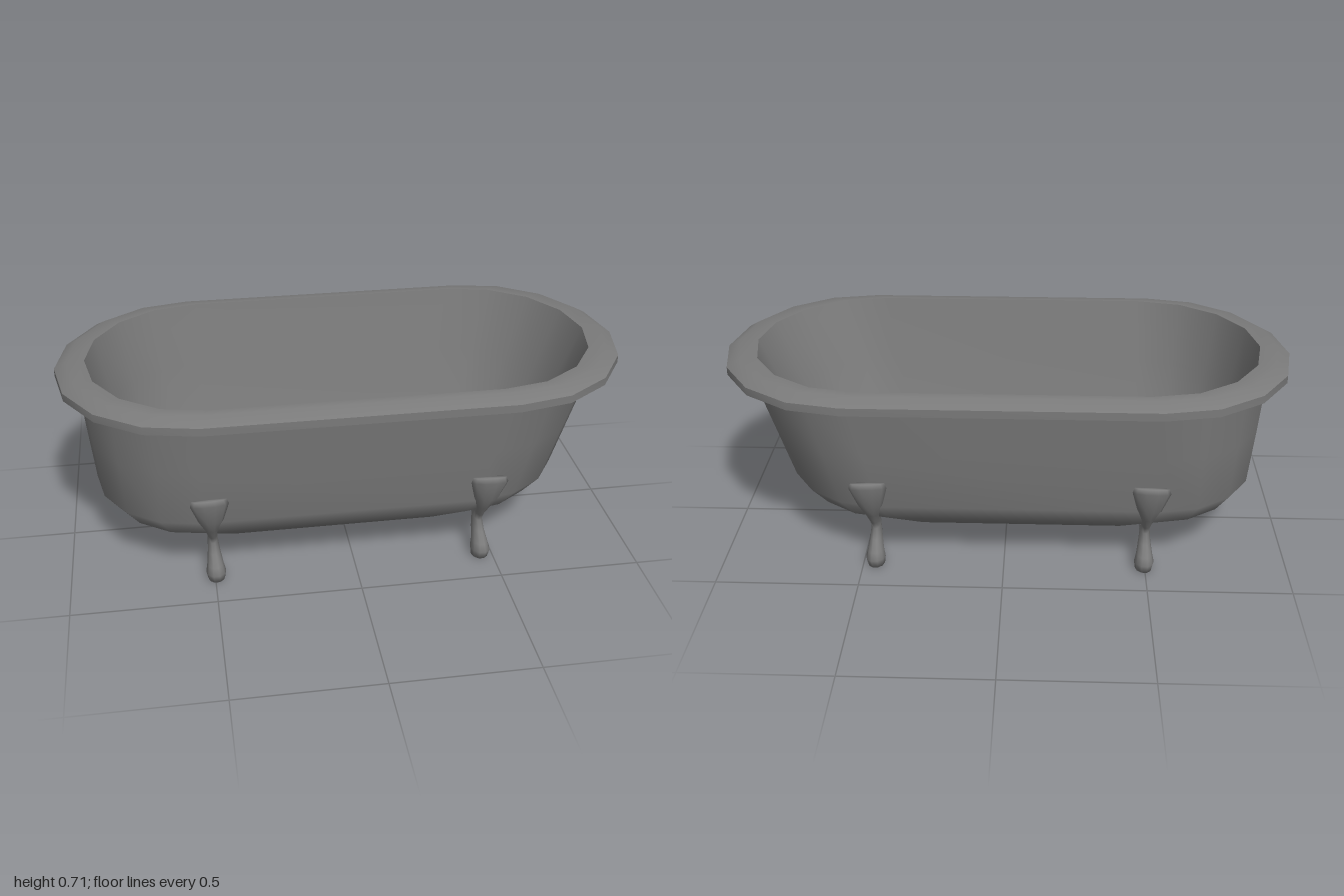
import * as THREE from 'three';
import { toCreasedNormals } from 'three/addons/utils/BufferGeometryUtils.js';

const material = new THREE.MeshStandardMaterial({ color: 0x7a7a7a, side: THREE.DoubleSide });

// Skin a list of closed rings, ordered from top to bottom on an outer surface
function loft(rings) {
  const n = rings[0].length;
  const index = [];
  for (let r = 0; r < rings.length - 1; r++) {
    for (let i = 0; i < n; i++) {
      const a = r * n + i, b = r * n + (i + 1) % n;
      index.push(a, b, a + n, b, b + n, a + n);
    }
  }
  const geometry = new THREE.BufferGeometry();
  geometry.setAttribute('position', new THREE.Float32BufferAttribute(rings.flat(2), 3));
  geometry.setIndex(index);
  geometry.computeVertexNormals();
  return geometry;
}

// Horizontal oval: straight sides joined by two faceted half-round ends
function oval(y, xLeft, xRight, halfWidth) {
  const radius = halfWidth * 0.95;
  const ring = [];
  for (let end = 0; end < 2; end++) {
    const cx = end === 0 ? xRight - radius : xLeft + radius;
    for (let i = 0; i <= 8; i++) {
      const a = -Math.PI / 2 + end * Math.PI + (i * Math.PI) / 8;
      ring.push([cx + radius * Math.cos(a), y, halfWidth * Math.sin(a)]);
    }
  }
  return ring;
}

// Ellipse of a leg, spanning from its outer to its inner point (z, y)
function legRing([zOut, yOut, zIn, yIn, halfX]) {
  const ring = [];
  for (let i = 0; i < 10; i++) {
    const a = (i * Math.PI) / 5, s = Math.sin(a) / 2;
    ring.push([
      halfX * Math.cos(a),
      (yOut + yIn) / 2 + s * (yOut - yIn),
      (zOut + zIn) / 2 + s * (zOut - zIn),
    ]);
  }
  return ring;
}

export function createModel() {
  const group = new THREE.Group();
  const add = (geometry, name) => {
    const mesh = new THREE.Mesh(geometry, material);
    mesh.name = name;
    group.add(mesh);
    return mesh;
  };

  // Outside of the basin, with one end sloping more than the other
  add(loft([
    oval(0.653, -0.93, 0.922, 0.432),
    oval(0.45, -0.913, 0.857, 0.403),
    oval(0.24, -0.893, 0.79, 0.374),
    oval(0.18, -0.845, 0.73, 0.345),
    oval(0.128, -0.68, 0.56, 0.285),
    oval(0.128, -0.4, 0.28, 0),
  ]), 'basinOutside');

  // Inside of the basin, from the floor up to the rim
  add(loft([
    oval(0.175, -0.4, 0.28, 0),
    oval(0.175, -0.62, 0.51, 0.25),
    oval(0.205, -0.75, 0.645, 0.295),
    oval(0.265, -0.8, 0.7, 0.32),
    oval(0.48, -0.845, 0.795, 0.375),
    oval(0.706, -0.895, 0.892, 0.428),
  ]), 'basinInside');

  // Rim with a bevelled top, overhanging the basin
  add(toCreasedNormals(loft([
    oval(0.706, -0.895, 0.892, 0.428),
    oval(0.706, -0.957, 0.957, 0.458),
    oval(0.681, -1, 1, 0.5),
    oval(0.653, -1, 1, 0.5),
    oval(0.653, -0.93, 0.922, 0.432),
  ]), 0.6), 'rim');

  // Curved leg: outer z, outer y, inner z, inner y, half width
  const legGeometry = loft([
    [0.395, 0.347, 0.395, 0.347, 0],
    [0.416, 0.352, 0.372, 0.338, 0.06],
    [0.425, 0.335, 0.365, 0.318, 0.066],
    [0.398, 0.25, 0.348, 0.24, 0.042],
    [0.365, 0.195, 0.31, 0.195, 0.026],
    [0.338, 0.15, 0.275, 0.165, 0.018],
    [0.32, 0.118, 0.245, 0.132, 0.017],
    [0.352, 0.09, 0.263, 0.075, 0.022],
    [0.389, 0.058, 0.3, 0.044, 0.029],
    [0.408, 0.036, 0.31, 0.026, 0.035],
    [0.394, 0.002, 0.321, 0.002, 0.03],
    [0.357, 0, 0.357, 0, 0],
  ].map(legRing));
  // The legs lean slightly outward towards the ends of the basin
  for (const [x, lean, side] of [[-0.495, 0.036, 'Right'], [0.454, -0.036, 'Left']]) {
    const front = add(legGeometry, 'front' + side + 'Leg');
    front.position.x = x;
    front.rotation.z = lean;
    const back = add(legGeometry, 'back' + side + 'Leg');
    back.position.x = x;
    back.rotation.set(0, Math.PI, -lean);
  }
  return group;
}
